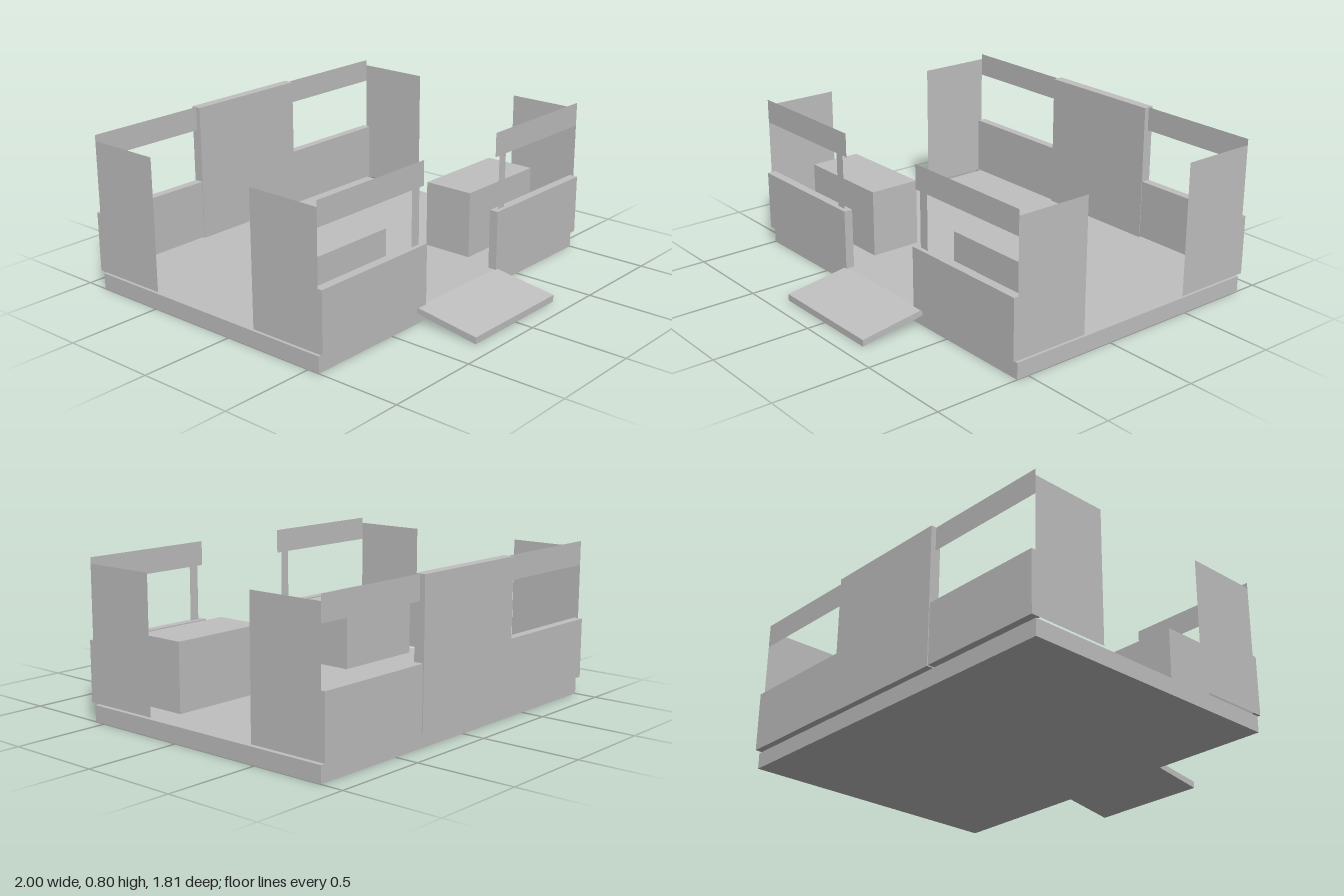
import * as THREE from 'three';

export function createModel() {
  const group = new THREE.Group();
  const grey = new THREE.MeshStandardMaterial({ color: 0xc0c0c0, side: THREE.DoubleSide });
  grey.name = 'plain grey';

  const add = (name, geometry) => {
    const mesh = new THREE.Mesh(geometry, grey);
    mesh.name = name;
    group.add(mesh);
    return mesh;
  };

  // Solid block given by its limits on each axis
  const block = (name, [x0, x1], [y0, y1], [z0, z1]) =>
    add(name, new THREE.BoxGeometry(x1 - x0, y1 - y0, z1 - z0))
      .position.set((x0 + x1) / 2, (y0 + y1) / 2, (z0 + z1) / 2);

  // Sheet without thickness, facing along z
  const sheet = (name, [x0, x1], [y0, y1], z) =>
    add(name, new THREE.PlaneGeometry(x1 - x0, y1 - y0))
      .position.set((x0 + x1) / 2, (y0 + y1) / 2, z);

  // Sheet without thickness, facing along x
  const sideSheet = (name, x, [y0, y1], [z0, z1]) => {
    const mesh = add(name, new THREE.PlaneGeometry(z1 - z0, y1 - y0));
    mesh.rotation.y = Math.PI / 2;
    mesh.position.set(x, (y0 + y1) / 2, (z0 + z1) / 2);
  };

  const FRONT = 0.563, BACK = -0.881;

  // Floor slab and tall centre panel at the back
  block('platform', [-1, 1], [0, 0.083], [BACK, FRONT]);
  block('backCentrePanel', [-0.345, 0.345], [0.087, 0.8], [-0.909, -0.855]);

  // Sloping entrance ramp, drawn as a side profile and extruded across x
  const profile = new THREE.Shape([
    new THREE.Vector2(-FRONT, 0.053),
    new THREE.Vector2(-0.905, 0),
    new THREE.Vector2(-0.905, 0.034),
    new THREE.Vector2(-FRONT, 0.084),
  ]);
  const ramp = new THREE.ExtrudeGeometry(profile, { depth: 0.636, bevelEnabled: false });
  ramp.translate(0, 0, -0.318).rotateY(Math.PI / 2);
  add('ramp', ramp);

  // Everything else is mirrored left and right
  for (const [side, s] of [['left', 1], ['right', -1]]) {
    const span = (a, b) => (s > 0 ? [a, b] : [-b, -a]);

    for (const [end, z] of [['Front', FRONT], ['Back', BACK]]) {
      block(side + end + 'LowWall', span(0.28, 1), [0.093, 0.4], [z - 0.023, z + 0.023]);
      sheet(side + end + 'TopRail', span(0.28, 1), [0.677, 0.8], z);
    }
    sheet(side + 'FrontPost', span(0.313, 0.366), [0.4, 0.677], FRONT);

    // Side screens at the corners
    sideSheet(side + 'FrontScreen', s, [0.093, 0.77], [0.165, FRONT]);
    sideSheet(side + 'BackScreen', s, [0.093, 0.77], [BACK, -0.48]);

    // Counter behind the front wall
    block(side + 'Counter', span(0.328, 0.868), [0.093, 0.438], [0.108, 0.38]);
  }
  return group;
}
